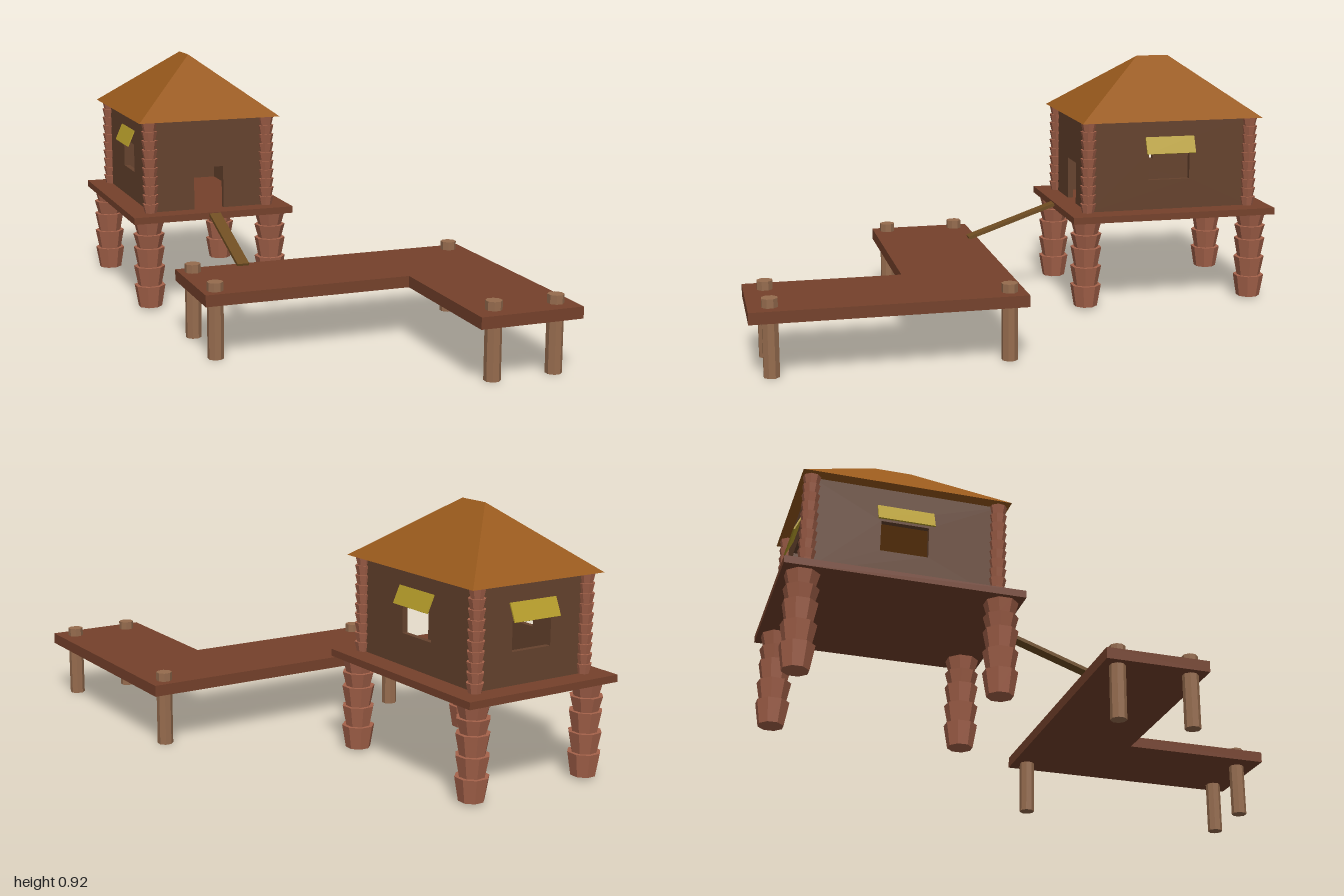
import * as THREE from 'three';

const mat = (color, side = THREE.FrontSide) =>
  new THREE.MeshStandardMaterial({ color, flatShading: true, side });

const COLORS = {
  deck: mat(0x75412b), wall: mat(0x65422d), roof: mat(0x98591c), trunk: mat(0xa5624a),
  pile: mat(0x966c4e), awning: mat(0xb59c2a, THREE.DoubleSide), ramp: mat(0x6f4d22),
};

// Centre of the hut in plan, and half the distance between its corner posts
const CX = -0.273, CZ = -0.605, HX = 0.226, HZ = 0.315;

function add(parent, name, geometry, material, x = 0, y = 0, z = 0) {
  const mesh = new THREE.Mesh(geometry, material);
  mesh.name = name;
  mesh.position.set(x, y, z);
  parent.add(mesh);
  return mesh;
}

// Palm trunk: stacked rings, each flaring towards its top
function trunk(name, levels, rBottom, rTop) {
  const group = new THREE.Group();
  group.name = name;
  for (let i = 0; i < levels.length - 1; i++) {
    const h = levels[i + 1] - levels[i];
    const ring = new THREE.CylinderGeometry(rTop, rBottom, h, 8);
    ring.rotateY(Math.PI / 8 + (i % 2) * 0.12);
    add(group, 'trunkRing', ring, COLORS.trunk, 0, levels[i] + h / 2, 0);
  }
  return group;
}

function polygon(points) {
  return new THREE.Shape(points.map(([x, y]) => new THREE.Vector2(x, y)));
}

// Wall panel facing +z, its outer face on z = 0; window or door cut out
function wall(halfWidth, opening) {
  const y0 = 0.36, y1 = 0.7, t = 0.02;
  let shape;
  if (opening === 'door') {
    const d = 0.057, top = 0.518;
    shape = polygon([[-halfWidth, y0], [-d, y0], [-d, top], [d, top], [d, y0],
      [halfWidth, y0], [halfWidth, y1], [-halfWidth, y1]]);
  } else {
    shape = polygon([[-halfWidth, y0], [halfWidth, y0], [halfWidth, y1], [-halfWidth, y1]]);
    shape.holes.push(polygon([[-0.08, 0.472], [-0.08, 0.58], [0.08, 0.58], [0.08, 0.472]]));
  }
  const geometry = new THREE.ExtrudeGeometry(shape, { depth: t, bevelEnabled: false });
  return geometry.translate(0, 0, -t);
}

// Hipped roof with a short ridge along z
function roofGeometry() {
  const ex = 0.271, ez = 0.35, rz = 0.061, y0 = 0.7, y1 = 0.915;
  const a = [-ex, y0, ez], b = [ex, y0, ez], c = [ex, y0, -ez], d = [-ex, y0, -ez];
  const f = [0, y1, rz], r = [0, y1, -rz];
  const faces = [a, b, f, b, c, r, b, r, f, c, d, r, d, a, f, d, f, r, a, d, c, a, c, b];
  const geometry = new THREE.BufferGeometry();
  geometry.setAttribute('position', new THREE.Float32BufferAttribute(faces.flat(), 3));
  geometry.computeVertexNormals();
  return geometry;
}

function createHut() {
  const hut = new THREE.Group();
  hut.name = 'stiltHut';
  hut.position.set(CX, 0, CZ);
  add(hut, 'hutPlatform', new THREE.BoxGeometry(0.615, 0.025, 0.785), COLORS.deck, 0, 0.3475, -0.002);

  // Stilts below and posts above, at the four corners
  const postLevels = Array.from({ length: 11 }, (_, i) => 0.36 + i * 0.034);
  for (const sx of [-1, 1]) {
    for (const sz of [-1, 1]) {
      const leg = trunk('stilt', [0.008, 0.09, 0.162, 0.234, 0.285, 0.335], 0.044, 0.058);
      leg.position.set(sx * 0.237, 0, sz * 0.325);
      const post = trunk('cornerPost', postLevels, 0.022, 0.03);
      post.position.set(sx * HX, 0, sz * HZ);
      hut.add(leg, post);
    }
  }

  // Walls: door in front, awning windows on the other three sides
  const sides = [
    ['frontWall', HX, HZ, 0, 'door'],
    ['leftWall', HZ, HX, Math.PI / 2, 'window'],
    ['backWall', HX, HZ, Math.PI, 'window'],
    ['rightWall', HZ, HX, -Math.PI / 2, 'window'],
  ];
  for (const [name, half, dist, angle, opening] of sides) {
    const side = new THREE.Group();
    side.name = name;
    side.rotation.y = angle;
    add(side, 'wallPanel', wall(half, opening), COLORS.wall, 0, 0, dist);
    if (opening === 'window') {
      const awning = add(side, 'awning', new THREE.BoxGeometry(0.19, 0.066, 0.005),
        COLORS.awning, 0, 0.605, dist + 0.0145);
      awning.rotation.x = -Math.atan2(0.027, 0.061);
    }
    hut.add(side);
  }
  add(hut, 'roof', roofGeometry(), COLORS.roof);
  return hut;
}

function createDock() {
  const dock = new THREE.Group();
  dock.name = 'dock';
  // L-shaped deck drawn in plan, then laid flat
  const plan = polygon([[-0.512, -0.085], [-0.512, -0.455], [0.216, -0.455],
    [0.216, -1], [0.579, -1], [0.579, -0.085]]);
  const deck = new THREE.ExtrudeGeometry(plan, { depth: 0.04, bevelEnabled: false });
  deck.rotateX(-Math.PI / 2);
  add(dock, 'dockDeck', deck, COLORS.deck, 0, 0.194, 0);

  const pile = new THREE.CylinderGeometry(0.028, 0.028, 0.264, 8).rotateY(Math.PI / 8);
  for (const [x, z] of [[-0.464, 0.14], [0.517, 0.14], [-0.464, 0.403], [0.295, 0.928], [0.517, 0.928]]) {
    add(dock, 'dockPile', pile, COLORS.pile, x, 0.132, z);
  }
  return dock;
}

export function createModel() {
  const model = new THREE.Group();
  model.name = 'stiltHutWithDock';
  model.add(createHut(), createDock());

  // Plank from the dock up to the hut door
  const rise = 0.115, run = 0.335;
  const ramp = add(model, 'ramp', new THREE.BoxGeometry(0.043, 0.012, Math.hypot(rise, run)),
    COLORS.ramp, CX, 0.294, -0.047);
  ramp.rotation.x = Math.atan2(rise, run);
  return model;
}
